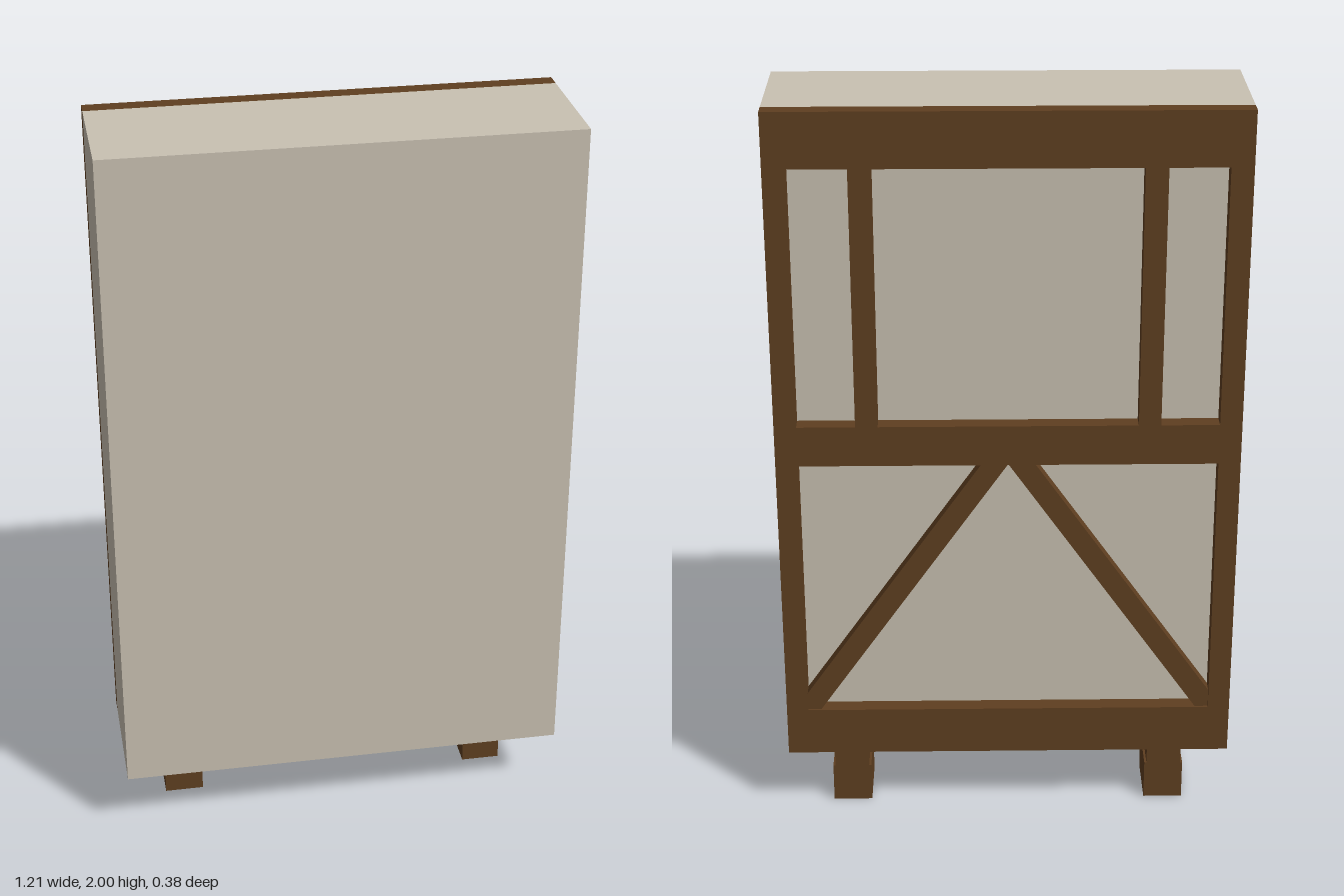
import * as THREE from 'three';

export function createModel() {
  const model = new THREE.Group();
  const plaster = new THREE.MeshStandardMaterial({ color: 0xc9c1b2 });
  plaster.name = 'plaster';
  const timber = new THREE.MeshStandardMaterial({ color: 0x5f3f20 });
  timber.name = 'timber';

  const W = 0.605, BOTTOM = 0.185, TOP = 2, BACK = -0.19, PANEL = -0.145, FRONT = 0.19;

  // Box given by its limits on each axis
  function box(name, material, x0, x1, y0, y1, z0, z1) {
    const mesh = new THREE.Mesh(new THREE.BoxGeometry(x1 - x0, y1 - y0, z1 - z0), material);
    mesh.position.set((x0 + x1) / 2, (y0 + y1) / 2, (z0 + z1) / 2);
    mesh.name = name;
    model.add(mesh);
    return mesh;
  }

  // Plate cut from an outline, spanning z0 to z1
  function plate(name, shape, z0, z1) {
    const geometry = new THREE.ExtrudeGeometry(shape, { depth: z1 - z0, bevelEnabled: false });
    const mesh = new THREE.Mesh(geometry, timber);
    mesh.position.z = z0;
    mesh.name = name;
    model.add(mesh);
  }
  const outline = (points) => points.map(([x, y]) => new THREE.Vector2(x, y));
  const rect = (x0, x1, y0, y1) => outline([[x0, y0], [x1, y0], [x1, y1], [x0, y1]]);

  // Plaster wall, its left end faced in timber up to the front edge
  const SEAM = 0.15;
  box('wallCore', [timber, plaster, plaster, plaster, plaster, plaster],
    -W, W, BOTTOM, TOP, PANEL, SEAM);
  box('wallFront', plaster, -W, W, BOTTOM, TOP, SEAM, FRONT);

  // Timber frame on the back: three upper openings and one wide lower opening
  const frame = new THREE.Shape(rect(-W, W, BOTTOM, TOP));
  const openings = [
    [-0.547, -0.395, 1.165, 1.855],
    [-0.337, 0.337, 1.165, 1.855],
    [0.395, 0.547, 1.165, 1.855],
    [-0.547, 0.547, 0.32, 1.055],
  ];
  for (const o of openings) frame.holes.push(new THREE.Path(rect(...o)));
  plate('backFrame', frame, BACK, PANEL);

  // Diagonal braces rising to the middle rail, set slightly back
  for (const s of [1, -1]) {
    const points = [[0.547, 0.32], [0.547, 0.37], [0.07, 1.055], [0, 1.055], [0.511, 0.32]];
    const brace = new THREE.Shape(outline(points.map(([x, y]) => [s * x, y])));
    plate(s > 0 ? 'leftBrace' : 'rightBrace', brace, BACK + 0.006, PANEL);
  }

  // Stepped feet
  for (const s of [1, -1]) {
    const side = s > 0 ? 'left' : 'right';
    const x = s * 0.435;
    box(side + 'FootBase', timber, x - 0.053, x + 0.053, 0, 0.11, -0.14, 0.02);
    box(side + 'FootPost', timber, x - 0.047, x + 0.047, 0.11, BOTTOM, -0.14, 0.02);
  }

  return model;
}
